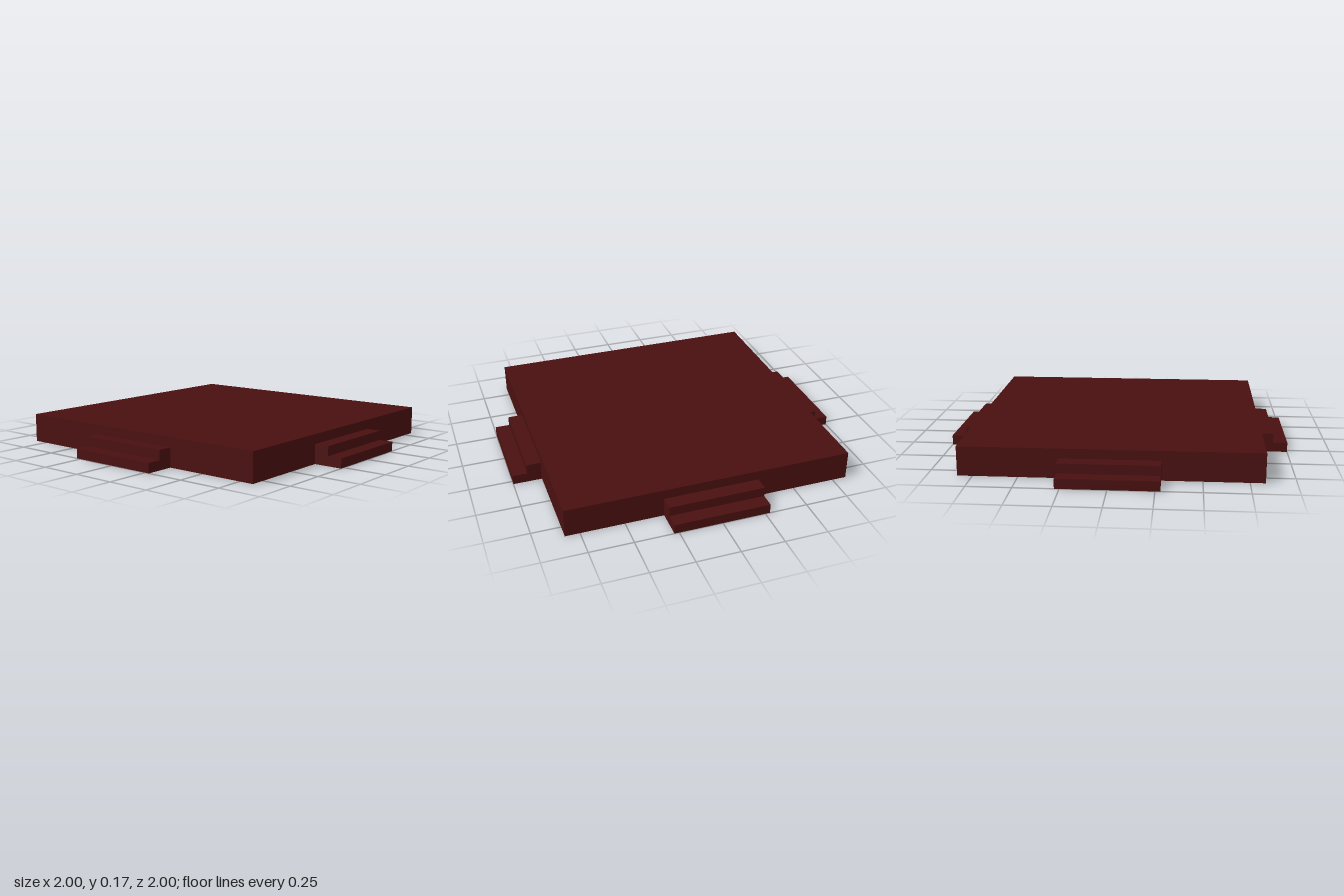
import * as THREE from 'three';

export function createModel() {
  const model = new THREE.Group();
  model.name = 'steppedPlatform';
  const material = new THREE.MeshStandardMaterial({ color: 0x4a1010 });

  const half = 0.833, height = 0.167, rise = 0.0556, tread = 0.0835, stairWidth = 0.555;

  // Square platform slab
  const slab = new THREE.Mesh(new THREE.BoxGeometry(half * 2, height, half * 2), material);
  slab.name = 'platform';
  slab.position.y = height / 2;
  model.add(slab);

  // Two-step stair profile, running outward along +x
  const profile = new THREE.Shape([
    [0, 0], [tread * 2, 0], [tread * 2, rise], [tread, rise], [tread, rise * 2], [0, rise * 2],
  ].map(([x, y]) => new THREE.Vector2(x, y)));
  const stairGeometry = new THREE.ExtrudeGeometry(profile, { depth: stairWidth, bevelEnabled: false });
  stairGeometry.translate(half, 0, -stairWidth / 2);

  // One stair centred on each side
  ['leftStairs', 'backStairs', 'rightStairs', 'frontStairs'].forEach((name, i) => {
    const stairs = new THREE.Mesh(stairGeometry, material);
    stairs.name = name;
    stairs.rotation.y = i * Math.PI / 2;
    model.add(stairs);
  });

  return model;
}
